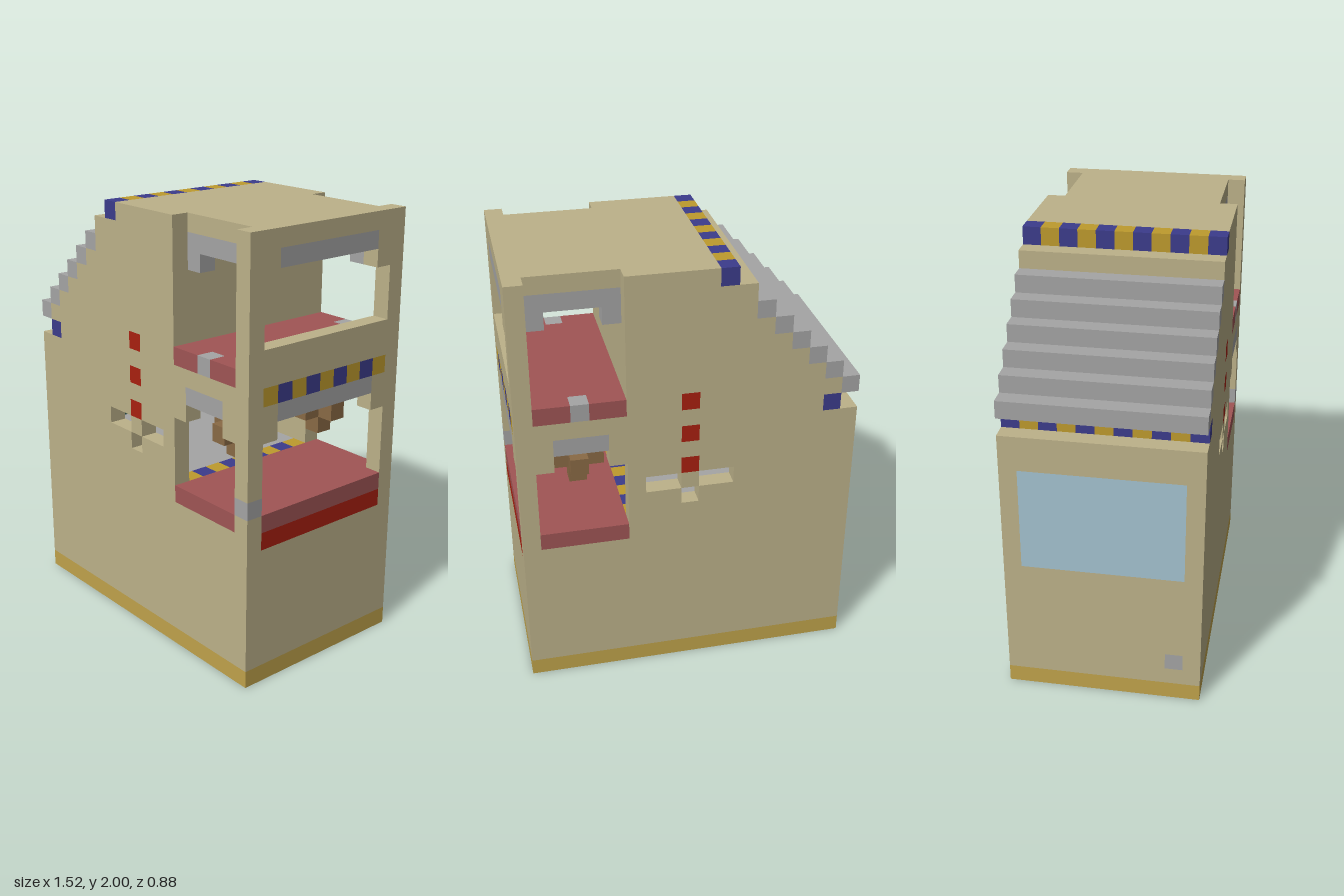
import * as THREE from 'three';

const U = 0.08, NX = 19, NY = 25, NZ = 11;

const mat = (name, color) => {
  const m = new THREE.MeshStandardMaterial({ color });
  m.name = name;
  return m;
};

// six face directions with two in-plane axes (u x v = outward normal)
const FACES = [
  [[1, 0, 0], [0, 1, 0], [0, 0, 1]], [[-1, 0, 0], [0, 0, 1], [0, 1, 0]],
  [[0, 1, 0], [0, 0, 1], [1, 0, 0]], [[0, -1, 0], [1, 0, 0], [0, 0, 1]],
  [[0, 0, 1], [1, 0, 0], [0, 1, 0]], [[0, 0, -1], [0, 1, 0], [1, 0, 0]],
];

export function createModel() {
  const M = {
    tan: mat('tan wall', 0xbdb28a), base: mat('ochre base', 0xc0a34b),
    gold: mat('gold trim', 0xbe9b2e), blue: mat('blue trim', 0x3c3c8c),
    gray: mat('gray stone', 0xa5a5a5), red: mat('red', 0xaa2010),
    rose: mat('rose floor', 0xa05555), brown: mat('brown wood', 0x8a6a45),
    teal: mat('teal', 0x35625c), glass: mat('pale blue glass', 0xa4c3d0),
  };

  // block grid: each cell holds the part it belongs to; later fills replace earlier ones
  const grid = new Array(NX * NY * NZ).fill(null);
  const parts = new Map();
  const at = (x, y, z) => (x + NX * (y + NY * z));
  const get = (x, y, z) =>
    (x < 0 || y < 0 || z < 0 || x >= NX || y >= NY || z >= NZ) ? null : grid[at(x, y, z)];
  const fill = (name, colour, x0, x1, y0, y1, z0, z1) => {
    let part = null;
    if (name) {
      const key = name + '|' + colour;
      if (!parts.has(key)) parts.set(key, { name, material: M[colour], pos: [] });
      part = parts.get(key);
    }
    for (let z = z0; z < z1; z++) for (let y = y0; y < y1; y++)
      for (let x = x0; x < x1; x++) grid[at(x, y, z)] = part;
  };
  const carve = (...b) => fill(null, null, ...b);
  // row of alternating blocks along z
  const checks = (name, a, b, x, y, z0, z1) => {
    for (let z = z0; z < z1; z++)
      fill(name, (z - z0) % 2 ? b : a, x, x + 1, y, y + 1, z, z + 1);
  };

  // body
  fill('base', 'base', 0, 19, 0, 1, 0, 11);
  fill('walls', 'tan', 0, 19, 1, 16, 0, 11);
  fill('walls', 'tan', 2, 19, 16, 17, 0, 11);

  // stepped roof
  for (let s = 0; s < 6; s++) {
    fill('walls', 'tan', s + 1, 19, 17 + s, 18 + s, 0, 11);
    fill('roofSteps', 'gray', s, s + 1, 17 + s, 18 + s, 0, 11);
  }
  fill('walls', 'tan', 6, 19, 23, 24, 0, 11);
  fill('roof', 'tan', 8, 19, 24, 25, 0, 11);
  checks('roofTrim', 'blue', 'gold', 7, 24, 0, 11);
  checks('eavesTrim', 'blue', 'gold', 1, 16, 0, 11);

  // lower room
  carve(1, 18, 10, 15, 1, 10);
  fill('lowerCeiling', 'gray', 1, 18, 15, 16, 1, 10);
  fill('backRoomFloor', 'gray', 1, 12, 9, 10, 1, 10);
  checks('floorTrim', 'gold', 'blue', 12, 9, 1, 10);
  fill('lowerFloor', 'rose', 13, 18, 9, 10, 0, 11);
  fill('lowerFloor', 'rose', 18, 19, 9, 10, 1, 10);
  fill('sillBand', 'red', 18, 19, 8, 9, 1, 10);

  // end wall inside the lower room
  fill('woodPanel', 'brown', 1, 2, 11, 15, 1, 10);
  checks('panelTrim', 'gray', 'teal', 1, 10, 1, 10);
  for (const z of [1, 9]) fill('panelLight', 'gray', 1, 2, 12, 13, z, z + 1);

  // end opening of the lower room
  carve(18, 19, 10, 14, 1, 10);
  carve(18, 19, 14, 15, 2, 9);
  fill('lowerLintel', 'gray', 18, 19, 15, 16, 2, 9);
  checks('endTrim', 'gold', 'blue', 18, 16, 1, 10);
  fill('cornerBand', 'gray', 18, 19, 10, 11, 10, 11);

  // upper room
  fill('upperFloor', 'rose', 13, 18, 17, 18, 0, 11);
  carve(13, 18, 18, 24, 1, 10);
  carve(18, 19, 19, 22, 1, 10);
  carve(18, 19, 22, 23, 2, 9);
  fill('upperLintel', 'gray', 18, 19, 23, 24, 2, 9);
  fill('upperCeiling', 'gray', 13, 18, 23, 24, 2, 9);
  carve(13, 18, 23, 24, 2, 9);

  // features shared by the front and back walls
  for (const back of [false, true]) {
    const z = back ? 0 : 10, inner = back ? 1 : 9;
    carve(13, 18, 18, 25, z, z + 1);
    fill('upperArch', 'gray', 13, 18, 23, 24, inner, inner + 1);
    for (const x of [13, 17]) fill('upperArch', 'gray', x, x + 1, 22, 23, inner, inner + 1);
    fill('upperSillBlock', 'gray', 15, 16, 17, 18, z, z + 1);
    carve(13, 18, 10, 14, z, z + 1);
    carve(14, 17, 14, 15, z, z + 1);
    fill('lowerLintel', 'gray', 14, 17, 15, 16, z, z + 1);
    // cross window with a solid centre
    carve(7, 9, 12, 13, z, z + 1);
    carve(10, 12, 12, 13, z, z + 1);
    carve(9, 10, 11, 12, z, z + 1);
    for (const y of [13, 15, 17]) fill('wallStuds', 'red', 9, 10, y, y + 1, z, z + 1);
    // hanging lamp
    const c = back ? 2 : 8;
    fill('lampMount', 'teal', 15, 16, 14, 15, c, c + 1);
    fill('lamp', 'brown', 15, 16, 12, 14, c, c + 1);
    fill('lamp', 'brown', 14, 17, 13, 14, c, c + 1);
    fill('lamp', 'brown', 15, 16, 13, 14, c - 1, c + 2);
  }

  // gray underside of the upper roof
  const liner = new THREE.Mesh(new THREE.BoxGeometry(5 * U, 0.006, 7 * U), M.gray);
  liner.name = 'upperCeiling';
  liner.position.set((15.5 - NX / 2) * U, 24 * U - 0.003, 0);

  // large window and small handle on the other end
  fill('endWindow', 'glass', 0, 1, 8, 14, 1, 10);
  fill('handle', 'gray', 0, 1, 2, 3, 9, 10);

  // collect the exposed faces of every cell
  for (let z = 0; z < NZ; z++) for (let y = 0; y < NY; y++) for (let x = 0; x < NX; x++) {
    const part = get(x, y, z);
    if (!part) continue;
    for (const [n, u, v] of FACES) {
      if (get(x + n[0], y + n[1], z + n[2])) continue;
      const c = [x + 0.5 - NX / 2, y + 0.5, z + 0.5 - NZ / 2];
      for (const [a, b] of [[-1, -1], [1, -1], [1, 1], [-1, -1], [1, 1], [-1, 1]])
        for (let i = 0; i < 3; i++)
          part.pos.push((c[i] + (n[i] + a * u[i] + b * v[i]) / 2) * U);
    }
  }

  const group = new THREE.Group();
  group.name = 'house';
  for (const { name, material, pos } of parts.values()) {
    if (!pos.length) continue;
    const g = new THREE.BufferGeometry();
    g.setAttribute('position', new THREE.Float32BufferAttribute(pos, 3));
    g.computeVertexNormals();
    const mesh = new THREE.Mesh(g, material);
    mesh.name = name;
    group.add(mesh);
  }
  group.add(liner);
  return group;
}
